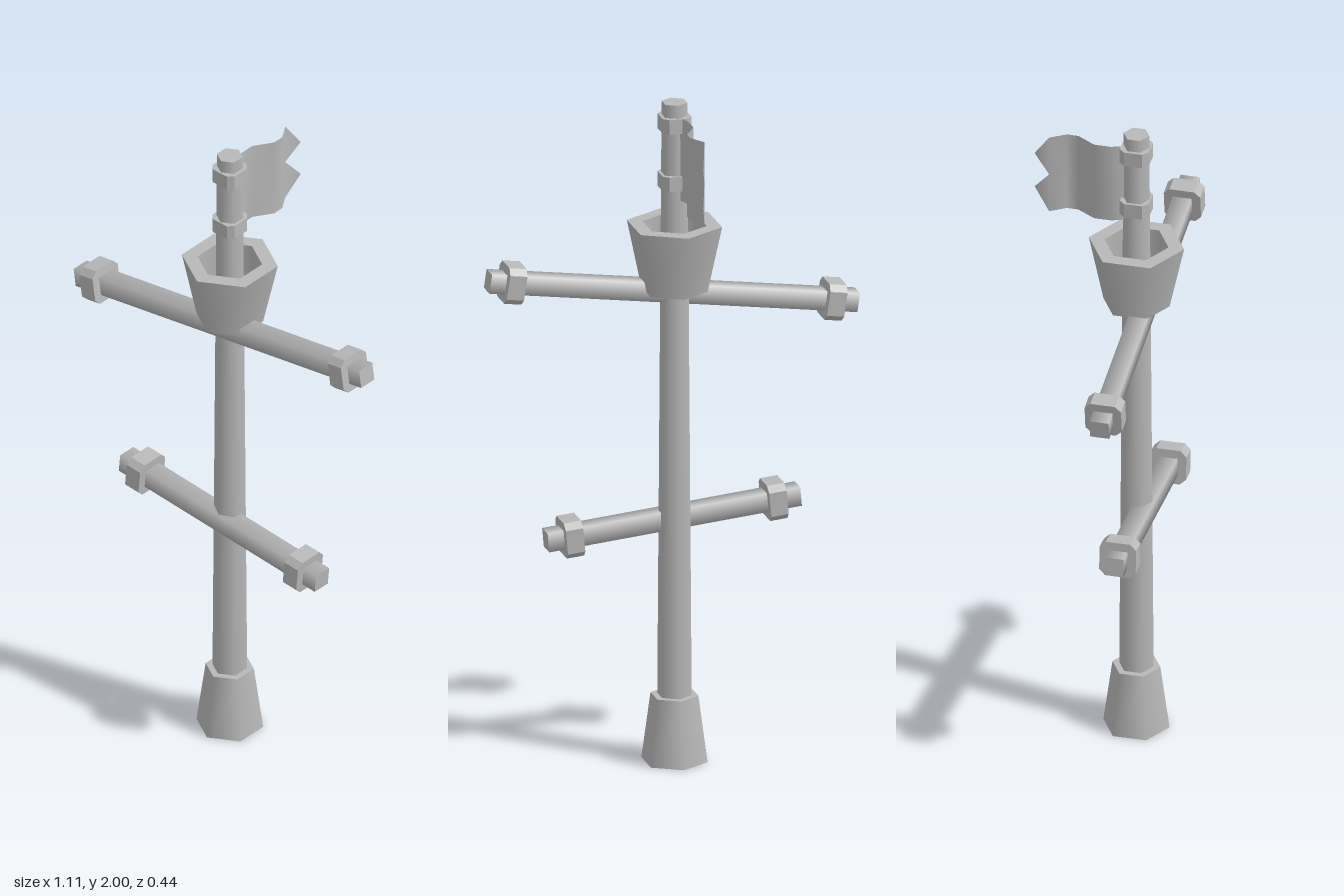
import * as THREE from 'three';

const MAST_Z = 0.08;
const YARD_Z = 0.105;

export function createModel() {
  const model = new THREE.Group();
  model.name = 'shipMast';
  const grey = new THREE.MeshStandardMaterial({ color: 0xb8b8b8, side: THREE.DoubleSide });
  grey.name = 'plain grey';

  const add = (parent, name, geometry, x = 0, y = 0, z = 0) => {
    const mesh = new THREE.Mesh(geometry, grey);
    mesh.name = name;
    mesh.position.set(x, y, z);
    parent.add(mesh);
    return mesh;
  };

  // Six-sided tapered post between two heights
  const hexPost = (name, rTop, rBottom, y0, y1) =>
    add(model, name, new THREE.CylinderGeometry(rTop, rBottom, y1 - y0, 6), 0, (y0 + y1) / 2, MAST_Z);

  // Square band with cut corners, centred, its axis along y
  const collarGeometry = (half, cut, height) => {
    const a = half, b = half - cut;
    const shape = new THREE.Shape([
      [a, -b], [a, b], [b, a], [-b, a], [-a, b], [-a, -b], [-b, -a], [b, -a],
    ].map(([x, y]) => new THREE.Vector2(x, y)));
    return new THREE.ExtrudeGeometry(shape, { depth: height, bevelEnabled: false })
      .translate(0, 0, -height / 2).rotateX(-Math.PI / 2);
  };

  // Mast and its foot
  hexPost('base', 0.071, 0.098, 0, 0.2);
  hexPost('mast', 0.038, 0.051, 0.19, 2);
  for (const y of [1.763, 1.938]) {
    add(model, 'mastCollar', collarGeometry(0.043, 0.016, 0.045), 0, y, MAST_Z);
  }

  // Crow's nest: hollow six-sided tub
  const nest = new THREE.Group();
  nest.name = 'crowsNest';
  nest.position.z = MAST_Z;
  model.add(nest);
  const flat = (g) => g.rotateX(-Math.PI / 2);
  add(nest, 'nestOuterWall', new THREE.CylinderGeometry(0.141, 0.098, 0.2, 6, 1, true), 0, 1.53);
  add(nest, 'nestInnerWall', new THREE.CylinderGeometry(0.095, 0.095, 0.185, 6, 1, true), 0, 1.5375);
  add(nest, 'nestRim', flat(new THREE.RingGeometry(0.095, 0.141, 6, 1, Math.PI / 2)), 0, 1.63);
  add(nest, 'nestFloor', flat(new THREE.CircleGeometry(0.095, 6, Math.PI / 2)), 0, 1.445);
  add(nest, 'nestUnderside', flat(new THREE.CircleGeometry(0.098, 6, Math.PI / 2)).rotateX(Math.PI), 0, 1.43);

  // Tilted yards, each with a collar near both ends
  const yard = (name, length, y, tilt, collarAt) => {
    const group = new THREE.Group();
    group.name = name;
    group.position.set(0, y, YARD_Z);
    group.rotation.z = tilt;
    const spar = new THREE.CylinderGeometry(0.04, 0.04, length, 4)
      .rotateY(Math.PI / 4).rotateZ(Math.PI / 2);
    add(group, 'spar', spar);
    for (const side of [-1, 1]) {
      add(group, 'yardCollar', collarGeometry(0.054, 0.018, 0.052).rotateZ(Math.PI / 2), side * collarAt);
    }
    model.add(group);
  };
  yard('upperYard', 1.115, 1.418, 0.147, 0.485);
  yard('lowerYard', 0.76, 0.73, -0.09, 0.306);

  // Waving flag: columns of [x, z], ending in two points
  const top = 1.96, bottom = 1.71, middle = 1.835;
  const columns = [
    [-0.005, 0.05], [-0.012, 0.035], [-0.021, 0.01], [-0.021, -0.04],
    [0.014, -0.095], [0.014, -0.13], [-0.015, -0.175],
  ];
  const points = [], faces = [];
  columns.forEach(([x, z], i) => {
    points.push(x, top, z, x, middle, z, x, bottom, z);
    if (i === 0) return;
    const a = (i - 1) * 3, b = i * 3;
    for (const k of [0, 1]) {
      faces.push(a + k, a + k + 1, b + k, b + k, a + k + 1, b + k + 1);
    }
  });
  const last = (columns.length - 1) * 3;
  points.push(0.003, 1.89, -0.222, 0.003, 1.777, -0.222);
  faces.push(last, last + 1, last + 3, last + 1, last + 2, last + 4);
  const flag = new THREE.BufferGeometry();
  flag.setAttribute('position', new THREE.Float32BufferAttribute(points, 3));
  flag.setIndex(faces);
  flag.computeVertexNormals();
  add(model, 'flag', flag);

  return model;
}
